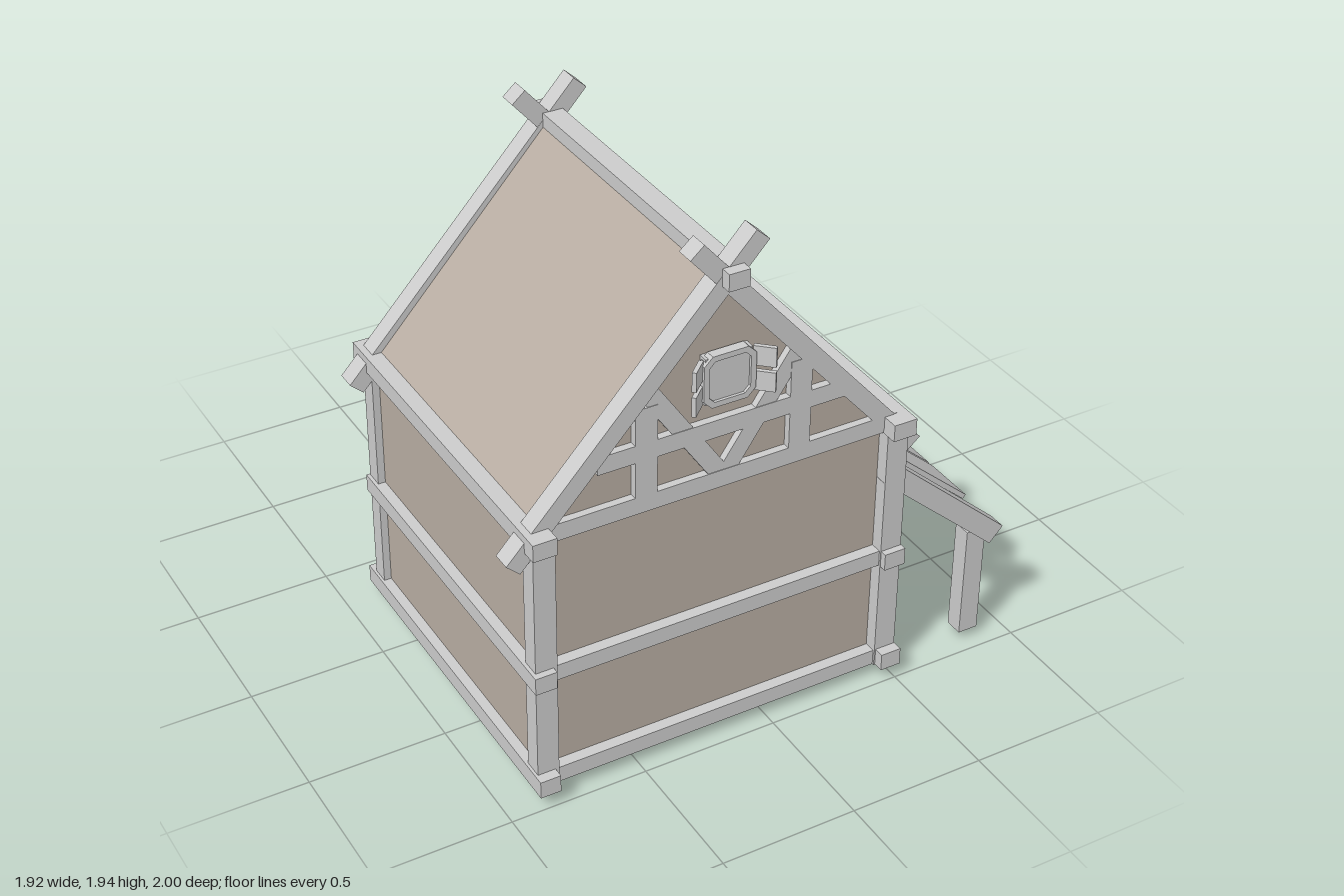
import * as THREE from 'three';

const timber = new THREE.MeshStandardMaterial({ color: 0xcccccc, flatShading: true });
const plaster = new THREE.MeshStandardMaterial({ color: 0xb8ada2, flatShading: true });

const MID = -0.183; // centre line of the house
const FRONT = 0.91, BACK = -0.255; // gable wall planes

function add(parent, name, geometry, material = timber) {
  const mesh = new THREE.Mesh(geometry, material);
  mesh.name = name;
  parent.add(mesh);
  return mesh;
}

// Box given by its minimum and maximum on each axis
function block(parent, name, [x0, x1], [y0, y1], [z0, z1], material) {
  const mesh = add(parent, name, new THREE.BoxGeometry(x1 - x0, y1 - y0, z1 - z0), material);
  mesh.position.set((x0 + x1) / 2, (y0 + y1) / 2, (z0 + z1) / 2);
  return mesh;
}

// Beam between two points of the xy plane, spanning a z range
function slanted(parent, name, [ax, ay], [bx, by], thick, [z0, z1]) {
  const length = Math.hypot(bx - ax, by - ay);
  const mesh = add(parent, name, new THREE.BoxGeometry(length, thick, z1 - z0));
  mesh.position.set((ax + bx) / 2, (ay + by) / 2, (z0 + z1) / 2);
  mesh.rotation.z = Math.atan2(by - ay, bx - ax);
  return mesh;
}

function polygon(points) {
  return new THREE.Shape(points.map(([x, y]) => new THREE.Vector2(x, y)));
}

function extrude(shape, depth) {
  return new THREE.ExtrudeGeometry(shape, { depth, bevelEnabled: false });
}

// Rectangle with cut corners, centred on the origin
function cutRectangle(w, h, c) {
  const x = w / 2, y = h / 2;
  return [[-x + c, -y], [x - c, -y], [x, -y + c], [x, y - c],
    [x - c, y], [-x + c, y], [-x, y - c], [-x, -y + c]];
}

// Window facing +z, with a two-board shutter swung open on each side
function makeWindow(w, h, shutterWidth, angle) {
  const group = new THREE.Group();
  group.name = 'window';
  const ring = polygon(cutRectangle(w, h, 0.03));
  ring.holes.push(new THREE.Path(polygon(cutRectangle(w - 0.04, h - 0.04, 0.02)).getPoints()));
  add(group, 'windowFrame', extrude(ring, 0.035));
  block(group, 'windowPane', [-w / 2 + 0.01, w / 2 - 0.01], [-h / 2 + 0.01, h / 2 - 0.01], [-0.01, 0.025]);
  for (const side of [-1, 1]) {
    const shutter = new THREE.Group();
    shutter.name = 'shutter';
    shutter.position.set(side * w / 2, 0, 0.015);
    shutter.rotation.y = -side * angle;
    const board = (h * 0.86 - 0.02) / 2;
    for (const up of [-1, 1]) {
      const panel = add(shutter, 'shutterBoard', new THREE.BoxGeometry(shutterWidth, board, 0.015));
      panel.position.set(side * shutterWidth / 2, up * (board / 2 + 0.01), 0);
    }
    group.add(shutter);
  }
  return group;
}

// Timber pattern of one gable, spanning a z range
function makeGable(name, z) {
  const gable = new THREE.Group();
  gable.name = name;
  const inner = [z[0] + 0.003, z[1] - 0.003];
  slanted(gable, 'rafter', [-0.94, 0.962], [-0.063, 1.913], 0.065, z);
  slanted(gable, 'rafter', [0.555, 0.934], [-0.295, 1.912], 0.065, [z[0] + 0.001, z[1] - 0.001]);
  block(gable, 'tieBeam', [-0.85, 0.48], [1.018, 1.082], inner);
  block(gable, 'collarBeam', [-0.64, 0.27], [1.215, 1.28], inner);
  for (const side of [-1, 1]) {
    const x = MID + side * 0.283;
    block(gable, 'gableStud', [x - 0.04, x + 0.04], [1.06, 1.41], inner);
    slanted(gable, 'gableBrace', [MID + side * 0.275, 1.46], [MID + side * 0.01, 1.07], 0.064,
      [z[0] + 0.005, z[1] - 0.005]);
  }
  return gable;
}

export function createModel() {
  const model = new THREE.Group();
  model.name = 'house';

  // Walls and roof as one solid body
  const body = polygon([[-0.855, 0.07], [0.485, 0.07], [0.485, 1.035], [MID, 1.805], [-0.855, 1.065]]);
  add(model, 'wallsAndRoof', extrude(body, FRONT - BACK), plaster).position.z = BACK;

  // Gable timbers and attic windows
  model.add(makeGable('frontGable', [0.87, 0.94]), makeGable('backGable', [-0.3, -0.228]));
  const frontWindow = makeWindow(0.19, 0.19, 0.075, 0.75);
  frontWindow.position.set(-0.178, 1.44, FRONT + 0.01);
  const backWindow = makeWindow(0.19, 0.19, 0.065, 0.6);
  backWindow.rotation.y = Math.PI;
  backWindow.position.set(-0.178, 1.44, BACK - 0.01);
  model.add(frontWindow, backWindow);

  // Ridge beam
  block(model, 'ridgeBeam', [-0.206, -0.13], [1.77, 1.832], [-0.325, 0.98]);

  // Corner posts
  for (const x of [[-0.882, -0.803], [0.435, 0.516]]) {
    for (const z of [[0.89, 0.96], [-0.298, -0.23]]) block(model, 'cornerPost', x, [0.05, 1.04], z);
  }

  // Long side beams
  for (const x of [[-0.9, -0.815], [0.432, 0.52]]) {
    block(model, 'eavesBeam', x, [1.016, 1.08], [-0.335, 0.998]);
    block(model, 'middleBeam', [x[0] + 0.005, x[1] - 0.002], [0.478, 0.543], [-0.303, 0.985]);
    block(model, 'sillBeam', [x[0] + 0.008, x[1] - 0.002], [0.052, 0.118], [-0.338, 0.998]);
  }

  // Front wall beams
  block(model, 'frontMiddleBeam', [-0.89, 0.516], [0.48, 0.54], [0.89, 0.952]);
  block(model, 'frontSill', [-0.88, 0.512], [0.05, 0.11], [0.888, 0.952]);

  // Side awning: two rafters on posts, with five boards
  const awning = new THREE.Group();
  awning.name = 'awning';
  for (const z of [[0.885, 0.952], [-0.3, -0.235]]) {
    slanted(awning, 'awningRafter', [0.46, 0.852], [0.93, 0.43], 0.077, z);
    block(awning, 'awningPost', [0.81, 0.886], [0.036, 0.475], [z[0] - 0.008, z[1] - 0.008]);
  }
  block(awning, 'awningLedger', [0.47, 0.516], [0.878, 0.92], [-0.24, 0.9]);
  for (let i = 0; i < 5; i++) {
    const z = -0.115 + i * 0.22;
    slanted(awning, 'awningBoard', [0.48, 0.888], [0.845, 0.568], 0.018, [z - 0.1, z + 0.1]);
  }
  model.add(awning);

  // Back door
  const door = new THREE.Group();
  door.name = 'door';
  const panel = polygon([[-0.055, 0.055], [0.355, 0.055], [0.355, 0.76], [0.31, 0.82], [-0.01, 0.82], [-0.055, 0.76]]);
  add(door, 'doorPanel', extrude(panel, 0.03)).position.z = BACK - 0.02;
  model.add(door);

  // Porch over the door: sloping beams, posts, crossbar and step
  const porch = new THREE.Group();
  porch.name = 'porch';
  for (const x of [[-0.06, 0.008], [0.288, 0.357]]) {
    const [x0, x1] = x;
    const slope = extrude(polygon([[0.235, 0.895], [0.3, 0.89], [0.757, 0.527], [0.757, 0.49],
      [0.705, 0.43], [0.3, 0.79], [0.235, 0.84]]), x1 - x0);
    const beam = add(porch, 'porchRafter', slope);
    beam.rotation.y = Math.PI / 2; // profile runs toward the back
    beam.position.x = x0;
    block(porch, 'porchPost', [x0 - 0.005, x1 + 0.005], [0.036, 0.49], [-0.754, -0.69]);
  }
  block(porch, 'porchCrossbar', [-0.068, 0.364], [0.465, 0.53], [-0.762, -0.698]);
  block(porch, 'step', [-0.032, 0.352], [0, 0.025], [-1, -0.04]);
  model.add(porch);

  // Large back window
  const largeWindow = makeWindow(0.37, 0.54, 0.11, 0.35);
  largeWindow.rotation.y = Math.PI;
  largeWindow.position.set(-0.515, 0.565, BACK);
  model.add(largeWindow);

  return model;
}
